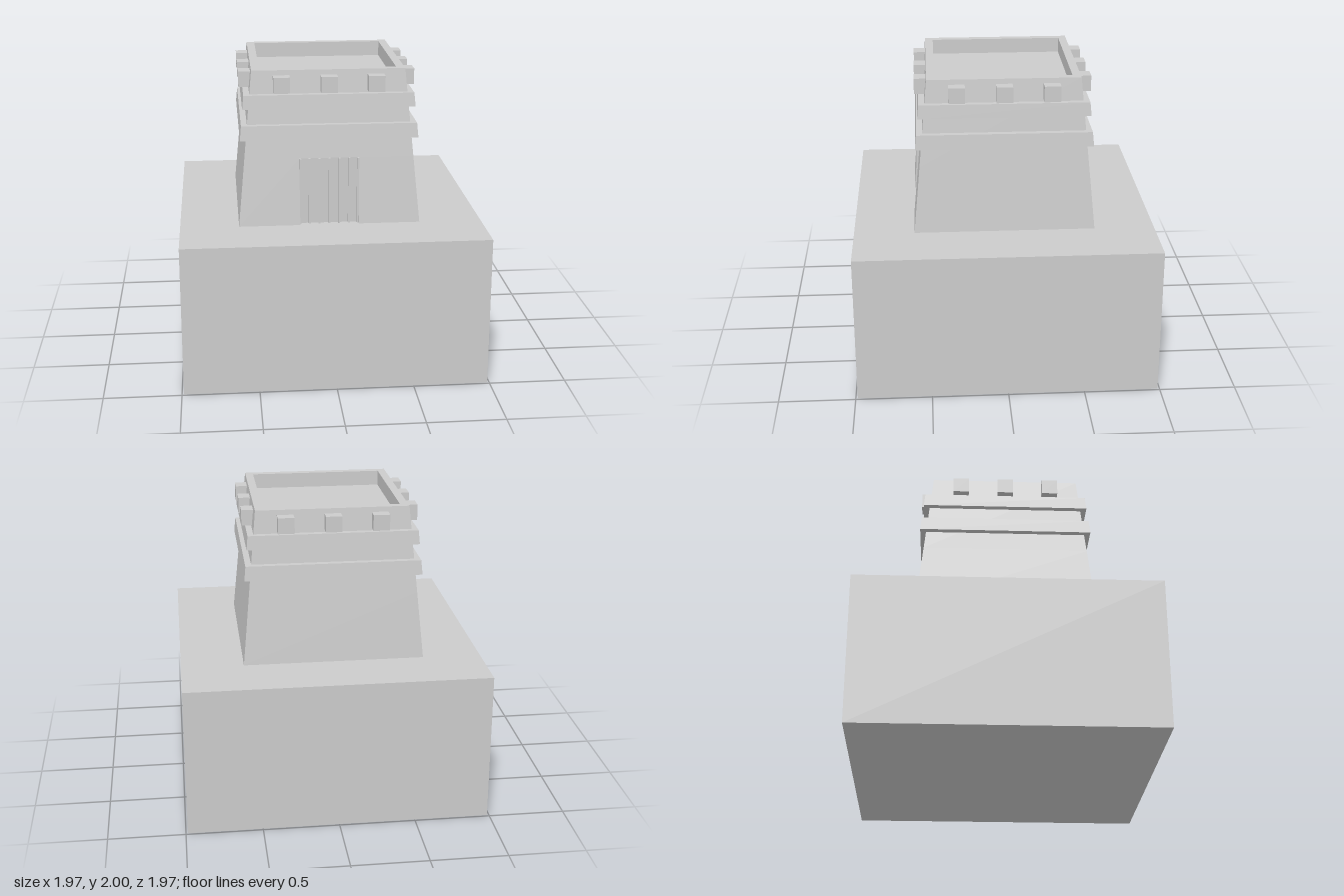
import * as THREE from 'three';

const material = new THREE.MeshStandardMaterial({ color: 0xcccccc, flatShading: true });
const BASE_TOP = 0.99;
const DOOR_TOP = 1.43;
const DOOR_HALF = 0.193;

// Half width of the sloping tower wall at height y
const wallAt = (y) => THREE.MathUtils.lerp(0.592, 0.494, (y - BASE_TOP) / (2 - BASE_TOP));

// Square ring with a notch in its front edge; the notch is flat when notchZ equals half
function ring(y, half, notchZ = half) {
  return [
    [-half, half], [-DOOR_HALF, half], [-DOOR_HALF, notchZ], [DOOR_HALF, notchZ],
    [DOOR_HALF, half], [half, half], [half, -half], [-half, -half],
  ].map(([x, z]) => new THREE.Vector3(x, y, z));
}

// Joins successive rings with quads, optionally closing the last one
function loft(name, rings, closeEnd = false) {
  const points = [];
  for (let r = 0; r < rings.length - 1; r++) {
    const low = rings[r], high = rings[r + 1];
    for (let i = 0; i < low.length; i++) {
      const j = (i + 1) % low.length;
      points.push(low[i], low[j], high[j], low[i], high[j], high[i]);
    }
  }
  if (closeEnd) {
    const end = rings[rings.length - 1];
    const centre = new THREE.Vector3(0, end[0].y, 0);
    end.forEach((p, i) => points.push(centre, p, end[(i + 1) % end.length]));
  }
  const geometry = new THREE.BufferGeometry().setFromPoints(points);
  geometry.computeVertexNormals();
  const mesh = new THREE.Mesh(geometry, material);
  mesh.name = name;
  return mesh;
}

function box(name, w, h, d, x, y, z) {
  const mesh = new THREE.Mesh(new THREE.BoxGeometry(w, h, d), material);
  mesh.name = name;
  mesh.position.set(x, y, z);
  return mesh;
}

// Projecting band around the tower, tapered like the wall
function band(name, y0, y1, out) {
  return loft(name, [
    ring(y0, wallAt(y0) - 0.01), ring(y0, wallAt(y0) + out),
    ring(y1, wallAt(y1) + out), ring(y1, wallAt(y1) - 0.01),
  ]);
}

export function createModel() {
  const model = new THREE.Group();
  model.name = 'watchtower';

  // Plinth
  model.add(box('plinth', 1.974, BASE_TOP, 1.974, 0, BASE_TOP / 2, 0));

  const tower = new THREE.Group();
  tower.name = 'tower';
  tower.position.x = -0.013;
  model.add(tower);

  // Sloping walls with the door recess, parapet rim and sunken roof
  const recessZ = wallAt(DOOR_TOP);
  tower.add(loft('towerWalls', [
    ring(BASE_TOP, wallAt(BASE_TOP), recessZ),
    ring(DOOR_TOP, recessZ),
    ring(2, wallAt(2)),
    ring(2, 0.441),
    ring(1.9, 0.441),
  ], true));

  // Two projecting bands
  tower.add(band('lowerBand', 1.56, 1.655, 0.039));
  tower.add(band('upperBand', 1.76, 1.85, 0.039));

  // Upright door bars
  const door = new THREE.Group();
  door.name = 'doorBars';
  for (let i = -3; i <= 3; i++) {
    const x = THREE.MathUtils.clamp(i * 0.0645, -DOOR_HALF + 0.004, DOOR_HALF - 0.006);
    door.add(box('doorBar', 0.013, DOOR_TOP - BASE_TOP, 0.04,
      x, (DOOR_TOP + BASE_TOP) / 2, recessZ));
  }
  tower.add(door);

  // Three blocks on each side of the parapet
  for (let side = 0; side < 4; side++) {
    const row = new THREE.Group();
    row.name = 'parapetBlocks';
    row.rotation.y = side * Math.PI / 2;
    for (const x of [-0.304, 0, 0.304]) {
      row.add(box('parapetBlock', 0.106, 0.103, 0.106, x, 1.916, 0.521));
    }
    tower.add(row);
  }
  return model;
}
